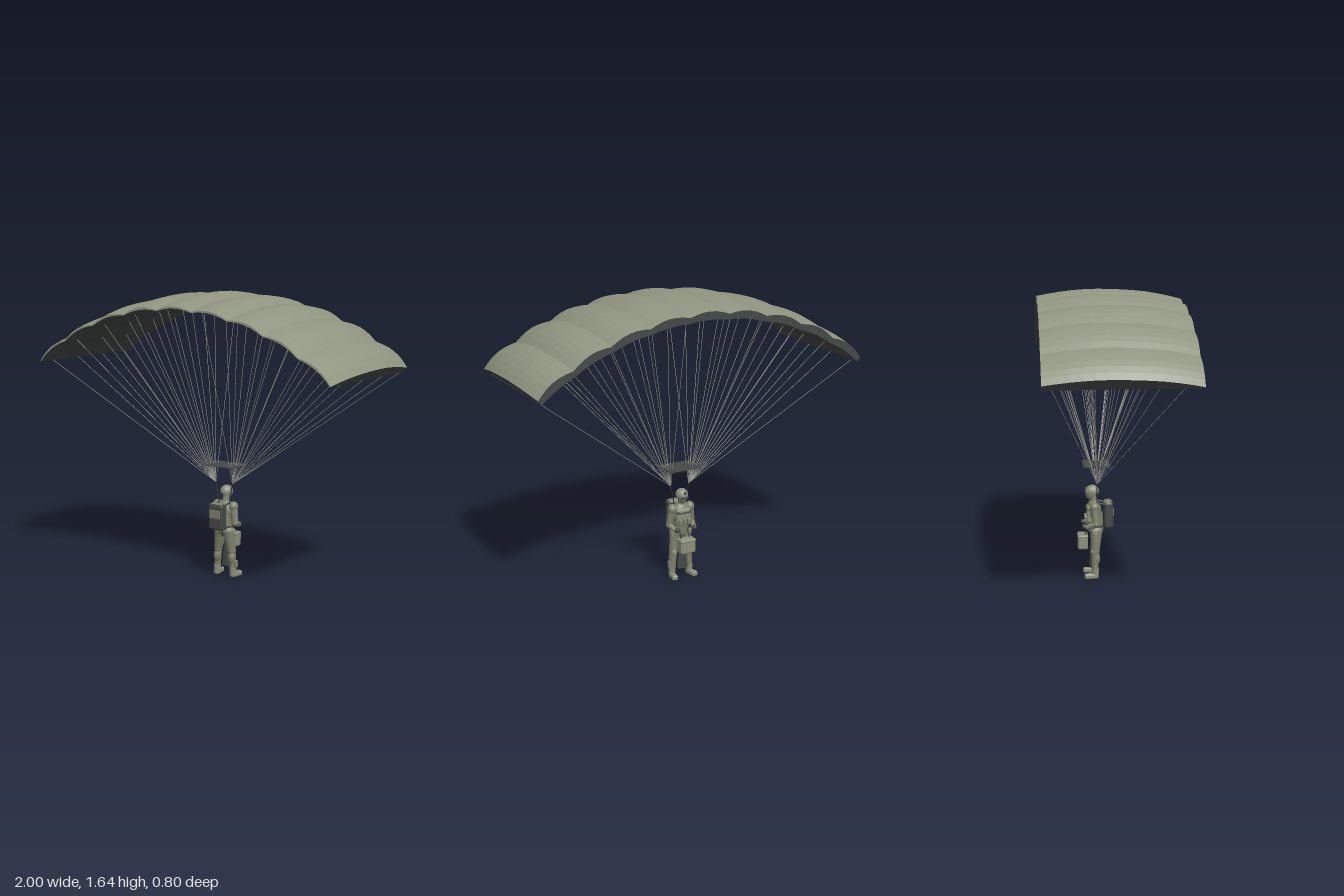
import * as THREE from 'three';
import { RoundedBoxGeometry } from 'three/addons/geometries/RoundedBoxGeometry.js';
import { ParametricGeometry } from 'three/addons/geometries/ParametricGeometry.js';

const material = (name, color, side = THREE.FrontSide) => {
  const m = new THREE.MeshStandardMaterial({ color, side });
  m.name = name;
  return m;
};
const V = (x, y, z) => new THREE.Vector3(x, y, z);

export function createModel() {
  const fabric = material('canopy green', 0x8f9580, THREE.DoubleSide);
  const suit = material('suit green', 0x7c806b);
  const gear = material('gear green', 0x8a8f79);
  const dark = material('dark grey', 0x434846, THREE.DoubleSide);
  const cord = material('cord grey', 0xa5a698);
  const black = material('strap black', 0x2e302e);

  const model = new THREE.Group();
  model.name = 'parachutist';
  const group = (name, parent = model) => {
    const g = new THREE.Group();
    g.name = name;
    parent.add(g);
    return g;
  };
  const add = (parent, name, geo, mat, p = [0, 0, 0], r = [0, 0, 0], s = [1, 1, 1]) => {
    const m = new THREE.Mesh(geo, mat);
    m.name = name;
    m.position.set(...p);
    m.rotation.set(...r);
    m.scale.set(...s);
    parent.add(m);
    return m;
  };
  const box = (parent, name, size, p, mat, radius = 0.006, r) =>
    add(parent, name, new RoundedBoxGeometry(...size, 2, Math.min(radius, Math.min(...size) * 0.45)), mat, p, r);
  const ball = (parent, name, p, s, mat) =>
    add(parent, name, new THREE.SphereGeometry(1, 20, 14), mat, p, [0, 0, 0], s);
  // Tapered rod between two points
  const rod = (parent, name, a, b, ra, rb, mat, sides = 14) => {
    const d = b.clone().sub(a);
    const m = add(parent, name, new THREE.CylinderGeometry(rb, ra, d.length(), sides), mat);
    m.position.copy(a).add(b).multiplyScalar(0.5);
    m.quaternion.setFromUnitVectors(V(0, 1, 0), d.normalize());
    return m;
  };

  // Canopy: nine bulging cells on an arc, with a wing section along z
  const CELLS = 9, HALF = 0.663, R = 1.56, ACROSS = CELLS * 6;
  const section = new THREE.SplineCurve([
    [0, 0.006], [0.12, 0.03], [0.3, 0.053], [0.58, 0.064], [0.8, 0.052], [1, 0.025],
  ].map(p => new THREE.Vector2(...p))).getPoints(60);
  const thickness = v => {
    let i = 1;
    while (i < 60 && section[i].x < v) i++;
    const a = section[i - 1], b = section[i];
    return THREE.MathUtils.mapLinear(v, a.x, b.x, a.y, b.y);
  };
  const skin = (u, v, top, out) => {
    const s = 2 * ((u * CELLS) % 1) - 1, arch = 1 - s * s;
    const bulge = 0.85 * arch + 0.15 * Math.cos(s * Math.PI / 2) ** 2;
    const angle = HALF * (2 * u - 1);
    const r = top ? R + thickness(v) + 0.02 * bulge
      : R - 0.006 * v + 0.014 * arch * (1 - 0.6 * v);
    return out.set(r * Math.sin(angle), r * Math.cos(angle), 0.4 - 0.8 * v);
  };
  const low = V(0, 0, 0), high = V(0, 0, 0);
  const between = (u, v, t, out) =>
    out.lerpVectors(skin(u, v, false, low), skin(u, v, true, high), t);
  const canopy = group('canopy');
  const panel = (name, mat, fn, nu, nv) => {
    const geo = new ParametricGeometry(fn, nu, nv).toNonIndexed();
    geo.computeVertexNormals();
    add(canopy, name, geo, mat);
  };
  panel('upperSkin', fabric, (u, v, p) => skin(u, v, true, p), ACROSS, 12);
  panel('lowerSkin', dark, (u, v, p) => skin(1 - u, v, false, p), ACROSS, 12);
  panel('trailingEdge', fabric, (u, t, p) => between(u, 0, t, p), ACROSS, 1);
  panel('leadingEdge', dark, (u, t, p) => between(1 - u, 1, t, p), ACROSS, 1);
  for (const end of [0, 1])
    panel('endRib', dark, (v, t, p) => between(end, end ? v : 1 - v, t, p), 12, 1);

  // Suspension lines from four rows on every rib, gathered at each riser
  const rigging = group('rigging');
  for (let i = 0; i <= CELLS; i++) {
    const angle = HALF * (2 * i / CELLS - 1);
    const knot = V(0.057 * Math.sign(angle), 0.55, -0.07);
    for (const z of [0.3, 0.08, -0.14, -0.35])
      rod(rigging, 'suspensionLine', knot,
        V(R * Math.sin(angle), R * Math.cos(angle), z), 0.0015, 0.0015, cord, 5);
  }
  add(rigging, 'slider', new THREE.BoxGeometry(0.2, 0.003, 0.152), dark, [0, 0.657, -0.072]);

  const person = group('person');
  // Torso and head
  ball(person, 'chest', [0, 0.385, -0.085], [0.058, 0.068, 0.042], suit);
  ball(person, 'hips', [0, 0.28, -0.075], [0.056, 0.045, 0.04], suit);
  rod(person, 'waist', V(0, 0.27, -0.075), V(0, 0.37, -0.083), 0.044, 0.048, suit, 20);
  rod(person, 'neck', V(0, 0.43, -0.085), V(0, 0.48, -0.095), 0.02, 0.02, suit);
  ball(person, 'face', [0, 0.483, -0.103], [0.024, 0.034, 0.03], suit);
  add(person, 'helmet', new THREE.SphereGeometry(1, 24, 12, 0, Math.PI * 2, 0, 1.95),
    gear, [0, 0.498, -0.095], [-0.12, 0, 0], [0.035, 0.037, 0.04]);
  box(person, 'goggles', [0.046, 0.016, 0.014], [0, 0.488, -0.13], dark);
  box(person, 'helmetMount', [0.014, 0.016, 0.01], [0, 0.515, -0.133], dark, 0.003);

  // Chest gear and belt
  box(person, 'vest', [0.088, 0.1, 0.035], [0, 0.37, -0.11], gear, 0.012);
  for (const x of [-0.028, 0, 0.028])
    box(person, 'vestPouch', [0.022, 0.036, 0.018], [x, 0.345, -0.132], suit);
  box(person, 'chestStrap', [0.092, 0.009, 0.038], [0, 0.397, -0.111], dark, 0.003);
  add(person, 'belt', new THREE.CylinderGeometry(0.05, 0.05, 0.014, 24), dark,
    [0, 0.297, -0.077], [0, 0, 0], [1.06, 1, 0.86]);

  for (const side of [-1, 1]) {
    // Arms bent forward
    const arm = group(side > 0 ? 'leftArm' : 'rightArm', person);
    const shoulder = V(side * 0.056, 0.416, -0.085), elbow = V(side * 0.072, 0.322, -0.078);
    const wrist = V(side * 0.06, 0.3, -0.133);
    ball(arm, 'shoulder', shoulder.toArray(), [0.027, 0.03, 0.028], suit);
    rod(arm, 'upperArm', shoulder, elbow, 0.024, 0.019, suit);
    ball(arm, 'elbow', elbow.toArray(), [0.02, 0.02, 0.02], suit);
    rod(arm, 'forearm', elbow, wrist, 0.019, 0.013, suit);
    ball(arm, 'glove', [side * 0.057, 0.306, -0.143], [0.012, 0.014, 0.015], dark);

    // Legs with knee pads and boots
    const leg = group(side > 0 ? 'leftLeg' : 'rightLeg', person);
    const hip = V(side * 0.03, 0.27, -0.073), knee = V(side * 0.047, 0.155, -0.08);
    const ankle = V(side * 0.056, 0.04, -0.083);
    ball(leg, 'hip', hip.toArray(), [0.034, 0.034, 0.036], suit);
    rod(leg, 'thigh', hip, knee, 0.034, 0.024, suit);
    ball(leg, 'knee', knee.toArray(), [0.024, 0.026, 0.025], suit);
    ball(leg, 'kneePad', [side * 0.048, 0.155, -0.096], [0.017, 0.022, 0.011], gear);
    rod(leg, 'shin', knee, ankle, 0.023, 0.018, suit);
    ball(leg, 'calf', [side * 0.05, 0.115, -0.074], [0.022, 0.038, 0.021], suit);
    rod(leg, 'bootShaft', V(side * 0.056, 0.008, -0.08), V(side * 0.055, 0.06, -0.082), 0.018, 0.021, gear);
    box(leg, 'bootFoot', [0.036, 0.03, 0.08], [side * 0.06, 0.015, -0.104], gear, 0.01, [0, -side * 0.15, 0]);

    // Harness strap and riser
    const top = V(side * 0.036, 0.438, -0.07);
    rod(person, 'riser', top, V(side * 0.057, 0.55, -0.07), 0.003, 0.003, black, 6);
    rod(person, 'shoulderStrap', top, V(side * 0.034, 0.4, -0.128), 0.006, 0.006, dark, 8);
    rod(person, 'packStrap', top, V(side * 0.034, 0.425, -0.02), 0.006, 0.006, dark, 8);
    box(person, 'hipPouch', [0.016, 0.034, 0.034], [side * 0.057, 0.268, -0.08], gear);
  }
  box(person, 'shinPouch', [0.014, 0.042, 0.026], [0.074, 0.08, -0.083], suit, 0.004);

  // Backpack
  const pack = group('backpack');
  box(pack, 'packBody', [0.098, 0.152, 0.052], [0, 0.365, -0.003], dark, 0.014);
  box(pack, 'packLid', [0.084, 0.034, 0.046], [0, 0.428, -0.006], suit, 0.014);
  box(pack, 'packPanel', [0.074, 0.05, 0.01], [0, 0.382, 0.021], suit, 0.004);
  rod(pack, 'looseStrap', V(0.025, 0.25, -0.02), V(0.025, 0.31, -0.018), 0.003, 0.003, black, 6);

  // Bag hung in front and dark equipment case between the legs
  const bag = group('frontBag');
  box(bag, 'bagBody', [0.096, 0.085, 0.058], [0, 0.208, -0.15], gear, 0.012);
  box(bag, 'bagFlap', [0.098, 0.02, 0.06], [0, 0.241, -0.15], gear, 0.009);
  for (const x of [-0.026, 0.026])
    rod(bag, 'bagStrap', V(x, 0.245, -0.14), V(x, 0.295, -0.115), 0.003, 0.003, black, 6);
  add(model, 'equipmentCase', new THREE.CylinderGeometry(0.014, 0.035, 0.18, 4, 1, false, Math.PI / 4),
    dark, [0, 0.145, -0.1], [0, 0, 0], [1.2, 1, 0.5]);

  return model;
}
